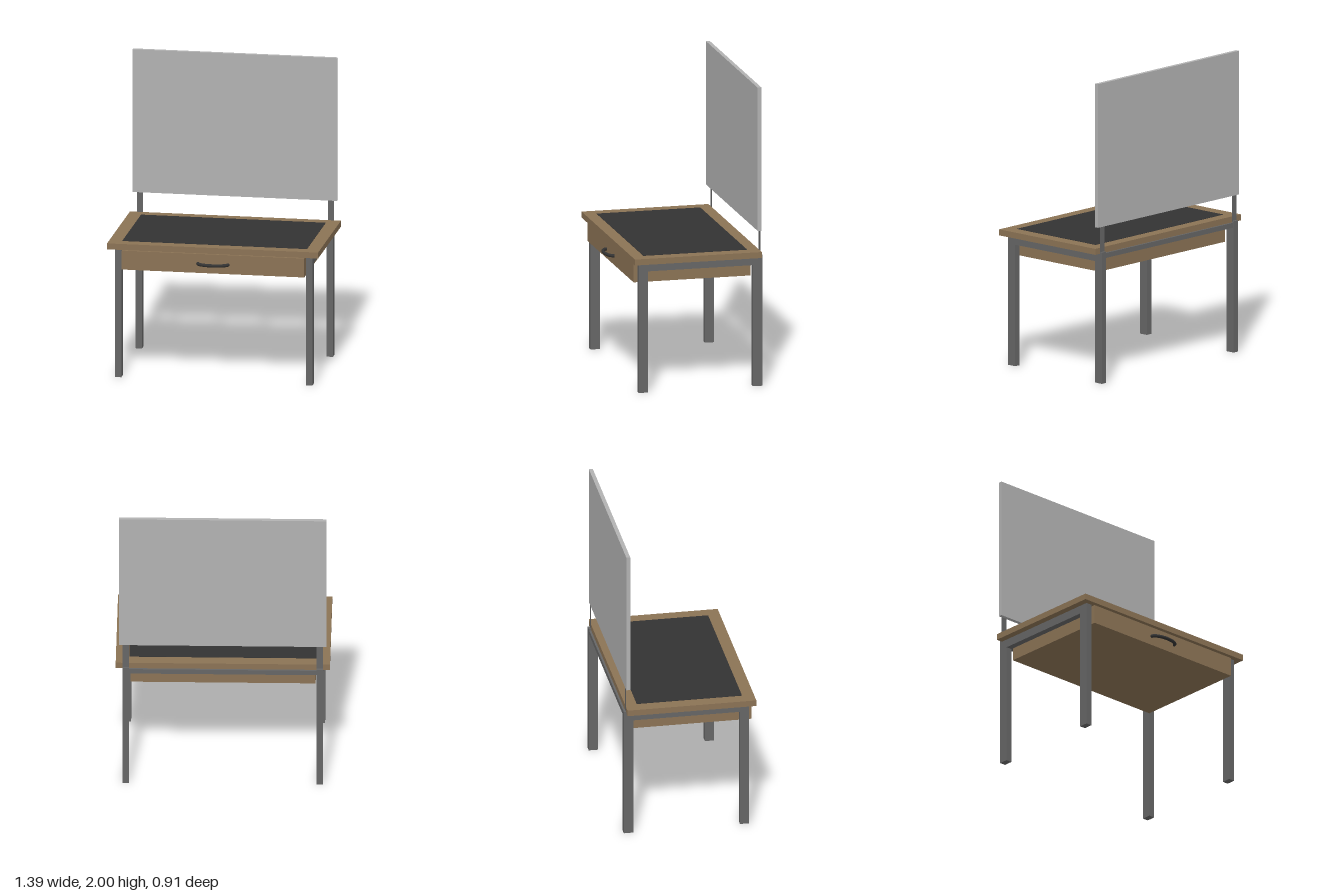
import * as THREE from 'three';

const wood = new THREE.MeshStandardMaterial({ color: 0x8b7355 });
const steel = new THREE.MeshStandardMaterial({ color: 0x666666 });
const dark = new THREE.MeshStandardMaterial({ color: 0x333333 });
const panel = new THREE.MeshStandardMaterial({ color: 0xb2b2b2 });
const thinSteel = new THREE.MeshStandardMaterial({ color: 0x666666, side: THREE.DoubleSide });

export function createModel() {
  const model = new THREE.Group();
  model.name = 'workbench';

  const add = (name, geometry, material) => {
    const mesh = new THREE.Mesh(geometry, material);
    mesh.name = name;
    model.add(mesh);
    return mesh;
  };
  // Box given by its lower and upper bounds on each axis
  const box = (name, material, [x0, x1], [y0, y1], [z0, z1]) =>
    add(name, new THREE.BoxGeometry(x1 - x0, y1 - y0, z1 - z0), material)
      .position.set((x0 + x1) / 2, (y0 + y1) / 2, (z0 + z1) / 2);

  // Table top with inset work mat
  box('tableTop', wood, [-0.697, 0.697], [0.865, 0.905], [-0.437, 0.415]);
  box('workMat', dark, [-0.61, 0.61], [0.9, 0.907], [-0.36, 0.336]);

  // Drawer and its bowed handle
  box('drawer', wood, [-0.603, 0.603], [0.73, 0.857], [-0.385, 0.4]);
  const points = [];
  for (let i = 0; i <= 12; i++) {
    const a = (Math.PI * i) / 12;
    points.push(new THREE.Vector3(0.1 * Math.cos(a), 0.792, 0.398 + 0.045 * Math.sin(a)));
  }
  const curve = new THREE.CatmullRomCurve3(points);
  add('drawerHandle', new THREE.TubeGeometry(curve, 32, 0.011, 12), dark);

  // Steel frame, mirrored left and right
  for (const [side, s] of [['left', 1], ['right', -1]]) {
    const x = s > 0 ? [0.61, 0.652] : [-0.652, -0.61];
    box(side + 'FrontLeg', steel, x, [0, 0.865], [0.315, 0.376]);
    box(side + 'BackLeg', steel, x, [0, 0.875], [-0.453, -0.391]);
    box(side + 'SideRail', steel, x, [0.81, 0.865], [-0.391, 0.315]);

    // Thin strip carrying the back panel
    add(side + 'PanelSupport', new THREE.PlaneGeometry(0.042, 0.88), thinSteel)
      .position.set(s * 0.631, 1.31, -0.4385);
  }
  box('backRail', steel, [-0.615, 0.615], [0.832, 0.865], [-0.45, -0.391]);

  // Upright back panel
  box('backPanel', panel, [-0.675, 0.675], [1.042, 2], [-0.441, -0.415]);

  return model;
}
